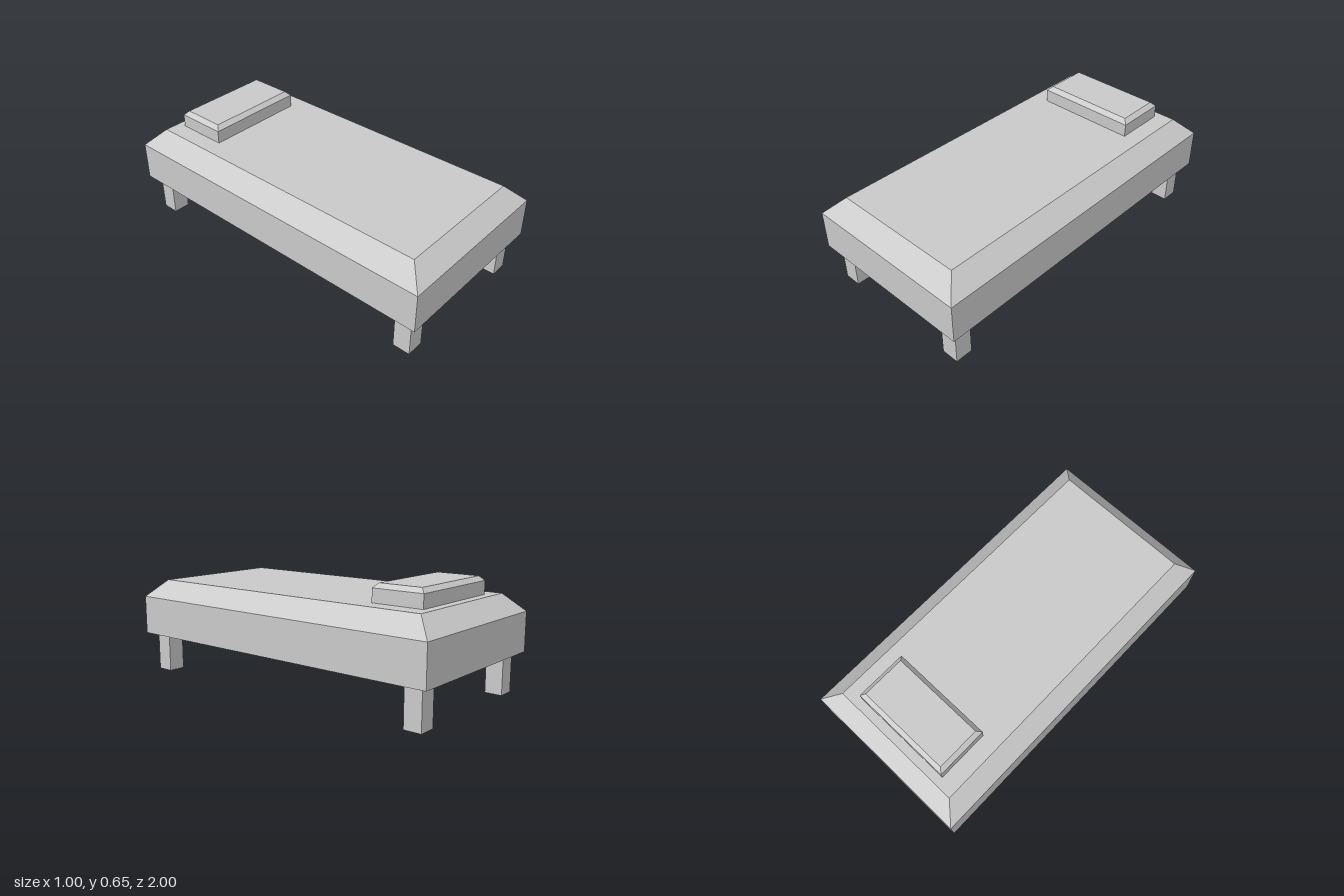
import * as THREE from 'three';

// Box standing on y0 whose top edges are cut by a 45 degree bevel
function bevelledBox(w, h, d, bevel) {
  const geo = new THREE.BoxGeometry(w, h, d, 1, 2, 1).translate(0, h / 2, 0);
  const p = geo.attributes.position;
  for (let i = 0; i < p.count; i++) {
    const y = p.getY(i);
    if (y > h * 0.75) {
      p.setX(i, p.getX(i) - Math.sign(p.getX(i)) * bevel);
      p.setZ(i, p.getZ(i) - Math.sign(p.getZ(i)) * bevel);
    } else if (y > h * 0.25) {
      p.setY(i, h - bevel);
    }
  }
  const flat = geo.toNonIndexed();
  flat.computeVertexNormals();
  return flat;
}

export function createModel() {
  const bed = new THREE.Group();
  bed.name = 'bed';
  const grey = new THREE.MeshStandardMaterial({ color: 0xcccccc });
  grey.name = 'light grey';

  const add = (name, geometry, x, y, z) => {
    const mesh = new THREE.Mesh(geometry, grey);
    mesh.name = name;
    mesh.position.set(x, y, z);
    bed.add(mesh);
  };

  // Mattress and pillow
  add('mattress', bevelledBox(1, 0.325, 2, 0.1), 0, 0.225, 0);
  add('pillow', bevelledBox(0.6, 0.1, 0.3, 0.025), 0, 0.55, -0.7);

  // Four square legs
  const leg = new THREE.BoxGeometry(0.1, 0.225, 0.1);
  for (const [side, x] of [['Left', 0.4], ['Right', -0.4]]) {
    for (const [end, z] of [['front', 0.9], ['back', -0.9]]) {
      add(`${end}${side}Leg`, leg, x, 0.1125, z);
    }
  }
  return bed;
}
